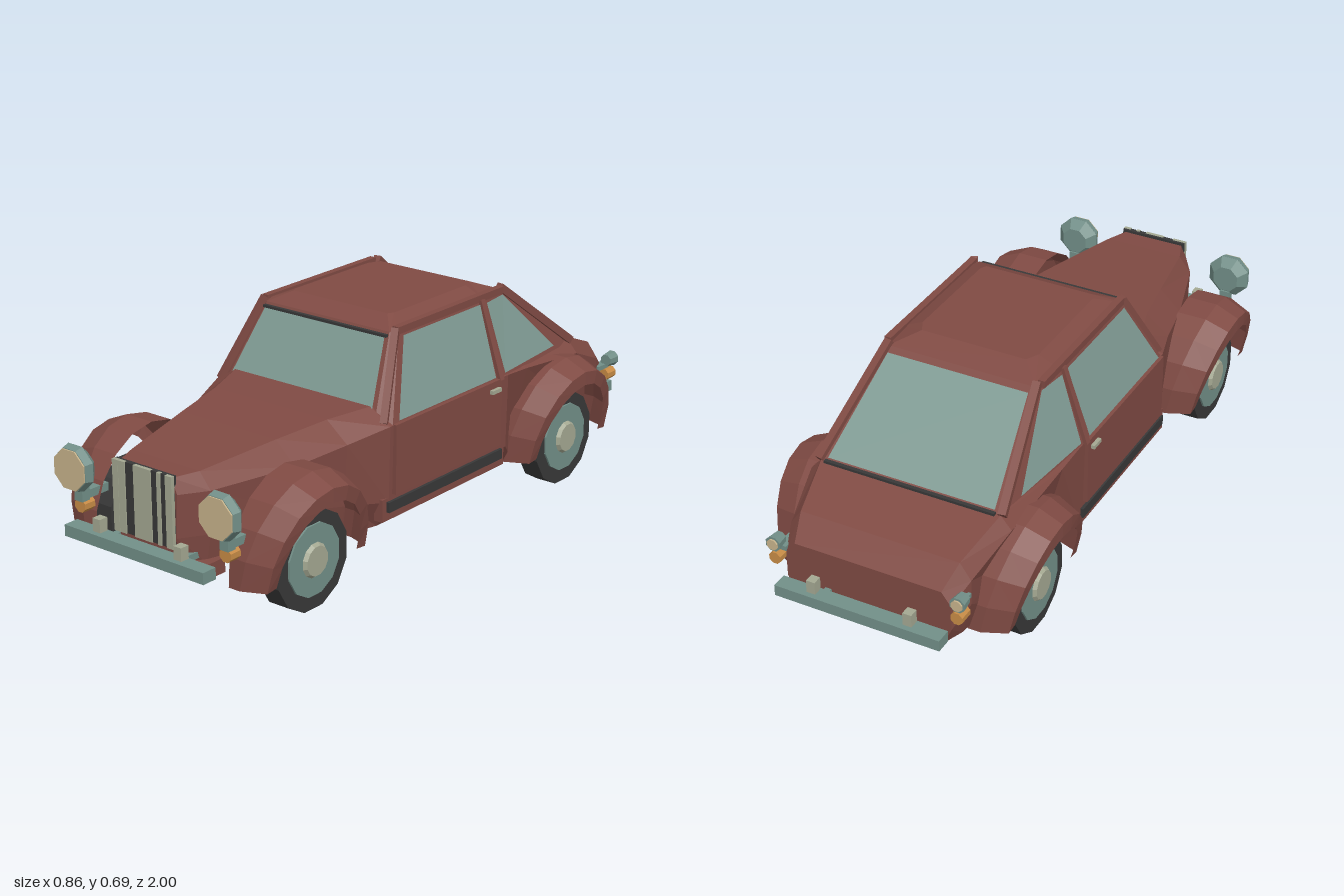
import * as THREE from 'three';

const V = (x, y, z) => new THREE.Vector3(x, y, z);
const mat = (name, color, side = THREE.FrontSide) => {
  const m = new THREE.MeshStandardMaterial({ color, flatShading: true, side });
  m.name = name;
  return m;
};

export function createModel() {
  const paint = mat('red paint', 0x7f4a43, THREE.DoubleSide);
  const glass = mat('glass', 0x7f9a93, THREE.DoubleSide);
  const trim = mat('blue grey trim', 0x728f88);
  const pale = mat('pale metal', 0xa4a892);
  const rubber = mat('rubber', 0x383838);
  const lens = mat('lamp lens', 0xc8b48c);
  const amber = mat('amber lens', 0xc88c46);

  const car = new THREE.Group();
  const half = new THREE.Group(); // everything on the car's left, mirrored at the end
  half.name = 'leftSide';

  const add = (parent, name, geo, m, x = 0, y = 0, z = 0) => {
    const mesh = new THREE.Mesh(geo, m);
    mesh.name = name;
    mesh.position.set(x, y, z);
    parent.add(mesh);
    return mesh;
  };
  const box = (parent, name, m, w, h, d, x, y, z) =>
    add(parent, name, new THREE.BoxGeometry(w, h, d), m, x, y, z);
  const disc = (parent, name, m, r1, r2, depth, sides, x, y, z, axis) => {
    const g = new THREE.CylinderGeometry(r1, r2, depth, sides);
    g.rotateY(Math.PI / sides);
    if (axis === 'x') g.rotateZ(-Math.PI / 2);
    else g.rotateX(Math.PI / 2);
    return add(parent, name, g, m, x, y, z);
  };
  // square bar between two points
  const bar = (parent, name, m, a, b, w) => {
    const mesh = add(parent, name, new THREE.BoxGeometry(w, w, a.distanceTo(b)), m);
    mesh.position.copy(a).add(b).multiplyScalar(0.5);
    mesh.lookAt(b);
  };
  const fromTriangles = (pts) => {
    const g = new THREE.BufferGeometry().setFromPoints(pts);
    g.computeVertexNormals();
    return g;
  };
  // skin over a list of rings, optionally closed and capped
  const loft = (rings, closed = true) => {
    const out = [], n = rings[0].length;
    for (let i = 0; i < rings.length - 1; i++)
      for (let j = 0; j < (closed ? n : n - 1); j++) {
        const k = (j + 1) % n;
        const a = rings[i][j], b = rings[i][k], c = rings[i + 1][k], d = rings[i + 1][j];
        out.push(a, d, b, b, d, c);
      }
    if (closed) {
      const first = rings[0], last = rings[rings.length - 1];
      for (let j = 1; j < n - 1; j++)
        out.push(first[0], first[j], first[j + 1], last[0], last[j + 1], last[j]);
    }
    return fromTriangles(out);
  };
  const mirrorRing = (pts) =>
    [...pts, ...pts.slice().reverse().map((p) => V(-p.x, p.y, p.z))];

  // lower body: z, then bottom edge, lower side, shoulder and top edge
  const sections = [
    [0.94, [0.1, 0.2], [0.115, 0.25], [0.12, 0.38], [0.1, 0.425]],
    [0.86, [0.15, 0.16], [0.165, 0.25], [0.17, 0.38], [0.13, 0.428]],
    [0.6, [0.22, 0.13], [0.24, 0.25], [0.25, 0.39], [0.18, 0.455]],
    [0.42, [0.26, 0.12], [0.28, 0.22], [0.29, 0.41], [0.215, 0.47]],
    [0.28, [0.285, 0.115], [0.33, 0.2], [0.335, 0.435], [0.26, 0.48]],
    [-0.3, [0.285, 0.115], [0.33, 0.2], [0.335, 0.435], [0.26, 0.45]],
    [-0.4, [0.28, 0.12], [0.28, 0.22], [0.335, 0.43], [0.27, 0.45]],
    [-0.69, [0.27, 0.13], [0.275, 0.25], [0.325, 0.4], [0.29, 0.44]],
    [-0.86, [0.26, 0.14], [0.29, 0.25], [0.29, 0.33], [0.255, 0.38]],
    [-0.93, [0.24, 0.145], [0.265, 0.2], [0.265, 0.28], [0.235, 0.32]],
  ];
  add(car, 'lowerBody', loft(sections.map(([z, ...p]) =>
    mirrorRing(p.map(([x, y]) => V(x, y, z))))), paint);
  box(car, 'frontValance', paint, 0.36, 0.045, 0.08, 0, 0.15, 0.86);

  // cabin and roof: y, then x and z from back to front
  const levels = [
    [0.43, [0.29, -0.7], [0.335, -0.27], [0.335, 0.27], [0.29, 0.3]],
    [0.67, [0.24, -0.385], [0.257, -0.27], [0.257, 0.145], [0.235, 0.16]],
    [0.7, [0.17, -0.31], [0.19, -0.27], [0.19, 0.08], [0.18, 0.1]],
  ].map(([y, ...p]) => p.map(([x, z]) => V(x, y, z)));
  add(car, 'cabin', loft(levels.map(mirrorRing)), paint);

  // window laid just outside a four-cornered face, by u and v ranges
  const pane = (parent, name, [a, b, c, d], u0, u1, v0, v1) => {
    const n = b.clone().sub(a).cross(d.clone().sub(a)).normalize().multiplyScalar(0.007);
    const at = (u, v) => a.clone().lerp(b, u).lerp(d.clone().lerp(c, u), v).add(n);
    const p = [at(u0, v0), at(u1, v0), at(u1, v1), at(u0, v1)];
    add(parent, name, fromTriangles([p[0], p[1], p[2], p[0], p[2], p[3]]), glass);
  };
  const [low, high] = levels;
  const flip = (p) => V(-p.x, p.y, p.z);
  pane(car, 'windscreen', [flip(low[3]), low[3], high[3], flip(high[3])], 0.02, 0.98, 0.17, 0.94);
  pane(car, 'rearWindow', [low[0], flip(low[0]), flip(high[0]), high[0]], 0.03, 0.97, 0.06, 0.94);
  pane(half, 'doorWindow', [low[2], low[1], high[1], high[2]], 0.04, 0.93, 0.05, 0.95);
  pane(half, 'quarterWindow', [low[1], low[0], high[0], high[1]], 0.03, 0.78, 0.06, 0.94);
  box(car, 'windscreenSeal', rubber, 0.47, 0.008, 0.012, 0, 0.66, 0.172);
  box(car, 'rearWindowSeal', rubber, 0.55, 0.008, 0.012, 0, 0.443, -0.695);

  // window frames
  bar(half, 'frontPillar', paint, V(0.315, 0.44, 0.285), V(0.25, 0.68, 0.15), 0.022);
  bar(half, 'middlePillar', paint, V(0.337, 0.43, -0.255), V(0.258, 0.67, -0.255), 0.02);
  bar(half, 'rearPillar', paint, V(0.295, 0.44, -0.69), V(0.24, 0.68, -0.375), 0.024);
  bar(half, 'roofRail', paint, V(0.25, 0.675, 0.15), V(0.25, 0.675, -0.37), 0.022);

  // door, sill strip and handle
  box(half, 'door', paint, 0.02, 0.215, 0.52, 0.335, 0.33, 0.005);
  box(half, 'sill', paint, 0.03, 0.07, 0.6, 0.315, 0.18, 0.01);
  box(half, 'sillStrip', rubber, 0.014, 0.032, 0.56, 0.333, 0.188, 0.01);
  box(half, 'doorHandle', pale, 0.014, 0.012, 0.045, 0.35, 0.41, -0.215);

  // fenders swept over each wheel, and the wheels
  for (const [end, z] of [['front', 0.65], ['rear', -0.585]]) {
    const rings = [];
    for (let i = 0; i <= 10; i++) {
      const t = (-1 + i / 5) * 1.66;
      const c = Math.cos(t), s = Math.sin(t);
      const edge = 0.375 + 0.055 * c;
      rings.push([[0.255, 1], [edge - 0.075, 1], [edge, 0.88], [edge, 0.72]]
        .map(([x, r]) => V(x, 0.15 + 0.27 * r * c, z + 0.24 * r * s)));
    }
    add(half, end + 'Fender', loft(rings.reverse().map((r) => r.reverse()), false), paint);
    disc(half, end + 'Tyre', rubber, 0.152, 0.152, 0.07, 12, 0.32, 0.152, z, 'x');
    disc(half, end + 'WheelDisc', trim, 0.11, 0.11, 0.008, 12, 0.357, 0.155, z, 'x');
    disc(half, end + 'HubCap', pale, 0.045, 0.055, 0.014, 12, 0.365, 0.155, z, 'x');
  }

  // head lamps on stalks with indicators beneath
  disc(half, 'headLampShell', trim, 0.066, 0.073, 0.025, 8, 0.278, 0.36, 0.945, 'z');
  disc(half, 'headLampBack', trim, 0.073, 0.045, 0.03, 8, 0.278, 0.36, 0.918, 'z');
  disc(half, 'headLampLens', lens, 0.064, 0.064, 0.006, 8, 0.278, 0.36, 0.959, 'z');
  box(half, 'headLampStalk', trim, 0.032, 0.06, 0.03, 0.278, 0.285, 0.915);
  box(half, 'headLampBracket', trim, 0.03, 0.025, 0.09, 0.278, 0.272, 0.87);
  disc(half, 'frontIndicator', amber, 0.022, 0.022, 0.04, 8, 0.278, 0.24, 0.905, 'z');

  // tail lamps
  disc(half, 'tailLampShell', trim, 0.02, 0.025, 0.04, 8, 0.295, 0.31, -0.93, 'z');
  disc(half, 'tailLampLens', lens, 0.018, 0.018, 0.006, 8, 0.295, 0.31, -0.952, 'z');
  box(half, 'tailLampBracket', trim, 0.03, 0.015, 0.06, 0.28, 0.29, -0.9);
  disc(half, 'rearIndicator', amber, 0.02, 0.02, 0.045, 8, 0.292, 0.262, -0.927, 'z');

  // bumpers
  for (const s of [1, -1]) {
    const end = s > 0 ? 'front' : 'rear';
    box(car, end + 'Bumper', trim, 0.53, 0.035, 0.05, 0, 0.193, s * 0.975);
    box(half, end + 'Overrider', pale, 0.028, 0.045, 0.03, 0.155, 0.228, s * 0.968);
    box(half, end + 'BumperArm', trim, 0.02, 0.02, 0.14, 0.13, 0.19, s * 0.9);
  }

  // grille
  box(car, 'grilleBack', rubber, 0.222, 0.213, 0.016, 0, 0.327, 0.942);
  for (const [x, w] of [[-0.102, 0.022], [-0.078, 0.024], [0, 0.065], [0.062, 0.013], [0.1, 0.024]])
    box(car, 'grilleBar', pale, w, 0.214, 0.012, x, 0.327, 0.948);

  const other = half.clone();
  other.name = 'rightSide';
  other.scale.x = -1;
  car.add(half, other);
  return car;
}
